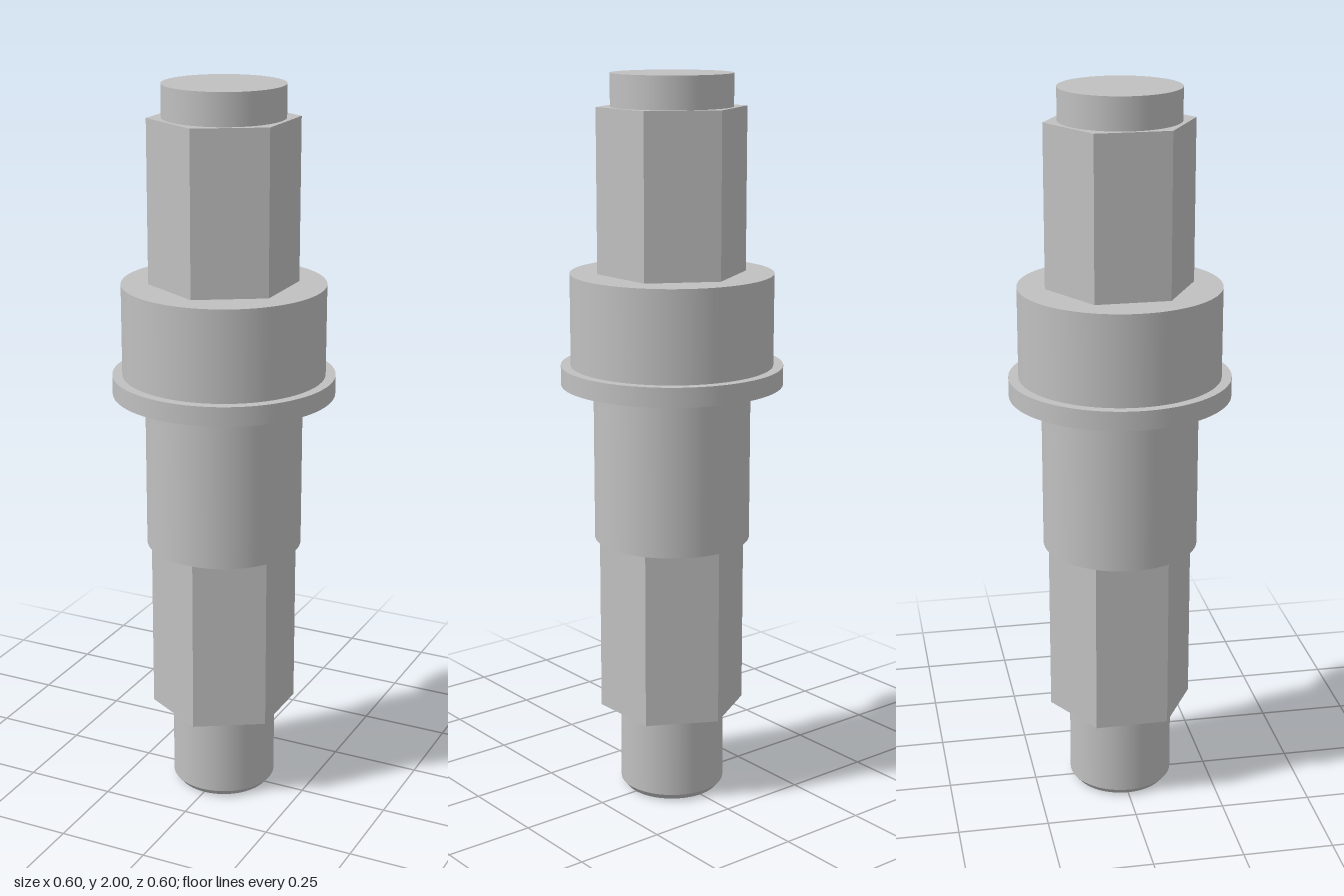
import * as THREE from 'three';

export function createModel() {
  const group = new THREE.Group();
  const steel = new THREE.MeshStandardMaterial({ color: 0xc0c0c0 });
  steel.name = 'steel grey';
  const hexSteel = steel.clone(); // same colour, flat facets
  hexSteel.flatShading = true;

  // One section of the shaft between two heights
  function section(name, y0, y1, rBottom, rTop = rBottom, hex = false) {
    const geometry = new THREE.CylinderGeometry(rTop, rBottom, y1 - y0, hex ? 6 : 96);
    if (hex) geometry.rotateY(0.012);
    const mesh = new THREE.Mesh(geometry, hex ? hexSteel : steel);
    mesh.name = name;
    mesh.position.y = (y0 + y1) / 2;
    group.add(mesh);
  }

  // Lower end: chamfered pilot and hexagonal shank
  section('pilotChamfer', 0, 0.018, 0.13, 0.145);
  section('pilot', 0.018, 0.245, 0.145);
  section('lowerHexShank', 0.245, 0.737, 0.202, 0.202, true);

  // Round middle: body, flange and collar
  section('body', 0.737, 1.171, 0.214);
  section('flange', 1.171, 1.224, 0.302);
  section('collar', 1.224, 1.474, 0.275);

  // Upper end: hexagonal shank and round tip
  section('upperHexShank', 1.474, 1.913, 0.202, 0.202, true);
  section('tip', 1.913, 2, 0.163);

  return group;
}
